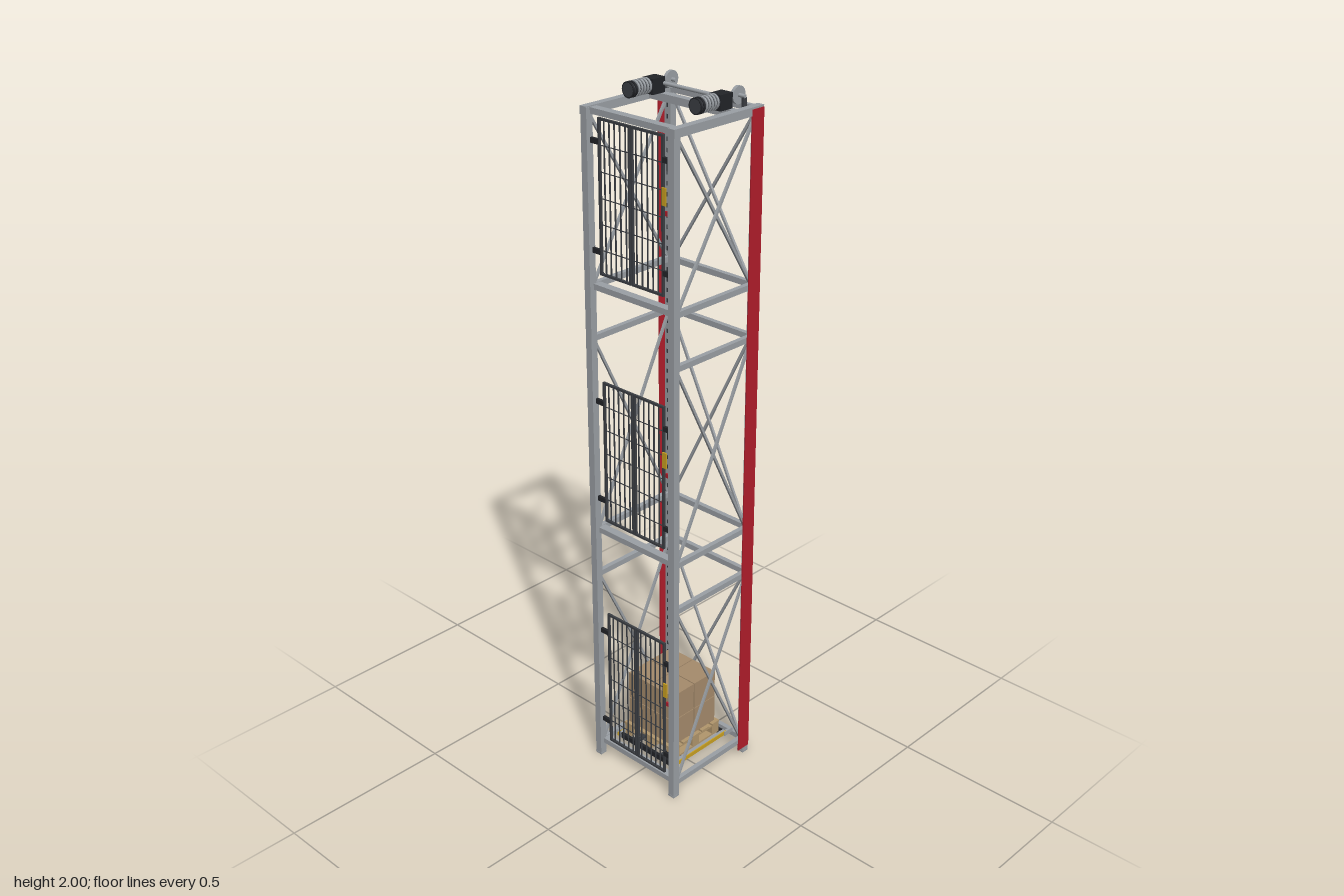
import * as THREE from 'three';
import { mergeGeometries } from 'three/addons/utils/BufferGeometryUtils.js';

const mat = (name, color) => {
  const m = new THREE.MeshStandardMaterial({ color });
  m.name = name;
  return m;
};

export function createModel() {
  const steel = mat('steel grey', 0x9a9fa4);
  const dark = mat('dark grey', 0x3b3e43);
  const black = mat('black', 0x222428);
  const red = mat('red cover', 0xb01c2a);
  const card = mat('cardboard', 0xa58b6c);
  const wood = mat('pallet wood', 0xb0956c);
  const yellow = mat('safety yellow', 0xc9a021);

  const model = new THREE.Group();
  model.name = 'palletLift';
  const group = (name) => {
    const g = new THREE.Group();
    g.name = name;
    model.add(g);
    return g;
  };
  const add = (parent, name, geo, m, x, y, z) => {
    const mesh = new THREE.Mesh(geo, m);
    mesh.name = name;
    mesh.position.set(x, y, z);
    parent.add(mesh);
    return mesh;
  };
  const box = (parent, name, m, w, h, d, x, y, z) =>
    add(parent, name, new THREE.BoxGeometry(w, h, d), m, x, y, z);
  // Straight bar between two points
  const bar = (parent, name, m, a, b, t) => {
    const dir = b.clone().sub(a);
    const mesh = box(parent, name, m, t, dir.length(), t, 0, 0, 0);
    mesh.position.copy(a).add(b).multiplyScalar(0.5);
    mesh.quaternion.setFromUnitVectors(new THREE.Vector3(0, 1, 0), dir.normalize());
    return mesh;
  };
  const V = (x, y, z) => new THREE.Vector3(x, y, z);

  // Corner posts with foot plates and slot rows
  const frame = group('frame');
  const slots = [];
  for (const sx of [-1, 1]) for (const sz of [-1, 1]) {
    box(frame, 'cornerPost', steel, 0.021, 1.946, 0.021, sx * 0.149, 0.977, sz * 0.149);
    box(frame, 'footPlate', steel, 0.022, 0.006, 0.022, sx * 0.149, 0.003, sz * 0.149);
    for (let y = 0.1; y < 1.92; y += 0.03) {
      const s = new THREE.BoxGeometry(0.001, 0.012, 0.006);
      s.translate(sx * 0.1383, y, sz * 0.149);
      slots.push(s);
    }
  }
  add(frame, 'postSlots', mergeGeometries(slots), dark, 0, 0, 0);

  // Horizontal rails
  for (const s of [-1, 1]) {
    for (const y of [0.045, 0.618, 0.762, 1.335, 1.481])
      box(frame, 'crossRail', steel, 0.28, 0.016, 0.014, 0, y, s * 0.149);
    box(frame, 'topRail', steel, 0.32, 0.022, 0.021, 0, 1.942, s * 0.1505);
  }
  for (const y of [0.045, 0.618, 0.762, 1.335, 1.481, 1.942])
    box(frame, 'sideRail', steel, 0.014, 0.016, 0.28, 0.149, y, 0);
  for (const y of [0.045, 0.762, 1.481, 1.942])
    box(frame, 'gateSideRail', steel, 0.024, 0.016, 0.28, -0.135, y, 0);
  box(frame, 'motorBeam', steel, 0.021, 0.02, 0.28, 0.072, 1.943, 0);

  // Crossed braces on the front, back and closed side
  for (const [y0, y1] of [[0.053, 0.61], [0.77, 1.327], [1.489, 1.93]]) {
    for (const d of [-1, 1]) {
      const o = d * 0.003;
      for (const s of [-1, 1])
        bar(frame, 'brace', steel, V(-0.138 * d, y0, s * 0.149 + o), V(0.138 * d, y1, s * 0.149 + o), 0.007);
      bar(frame, 'brace', steel, V(0.149 + o, y0, -0.138 * d), V(0.149 + o, y1, 0.138 * d), 0.007);
    }
  }

  // Red counterweight covers
  for (const s of [-1, 1])
    box(model, 'redCover', red, 0.044, 1.928, 0.003, 0.138, 0.984, s * 0.1605);

  // Double-leaf mesh gates
  for (const [y0, y1] of [[0.06, 0.5], [0.8, 1.22], [1.52, 1.93]]) {
    const gate = group('gate');
    const h = y1 - y0, ym = (y0 + y1) / 2, x = -0.145;
    for (const s of [-1, 1]) {
      for (const z of [0.004, 0.109])
        box(gate, 'gateStile', dark, 0.007, h, 0.006, x, ym, s * z);
      for (const y of [y0 + 0.003, y1 - 0.003])
        box(gate, 'gateEdge', dark, 0.007, 0.006, 0.108, x, y, s * 0.056);
      for (const z of [0.018, 0.037, 0.056, 0.074, 0.092])
        box(gate, 'gateBar', dark, 0.003, h, 0.003, x, ym, s * z);
      for (let i = 1; i < 6; i++)
        box(gate, 'gateWire', dark, 0.002, 0.002, 0.105, x - 0.002, y0 + (h * i) / 6, s * 0.056);
      for (const f of [0.15, 0.85])
        box(gate, 'hinge', black, 0.008, 0.014, 0.03, x, y0 + h * f, s * 0.125);
    }
    box(gate, 'lockBox', black, 0.012, 0.03, 0.01, x, y1 - 0.07, 0.131);
    box(gate, 'warningPlate', yellow, 0.004, 0.045, 0.014, x - 0.007, y1 - 0.15, 0.119);
    box(gate, 'stopButton', red, 0.005, 0.012, 0.012, x - 0.008, y1 - 0.19, 0.131);
  }

  // Lifting carriage
  const carriage = group('carriage');
  for (const s of [-1, 1]) {
    box(carriage, 'carriageRail', steel, 0.225, 0.014, 0.01, 0, 0.063, s * 0.106);
    box(carriage, 'yellowStrip', yellow, 0.228, 0.012, 0.003, 0, 0.064, s * 0.1125);
    box(carriage, 'carriageEnd', black, 0.009, 0.016, 0.205, s * 0.107, 0.063, 0);
    box(carriage, 'forkBeam', dark, 0.205, 0.008, 0.02, 0, 0.061, s * 0.055);
    box(carriage, 'guideArm', steel, 0.035, 0.014, 0.008, 0.122, 0.063, s * 0.113);
  }

  // Wooden pallet
  const pallet = group('pallet');
  for (const x of [-0.084, -0.04, 0, 0.04, 0.084])
    box(pallet, 'deckBoard', wood, 0.03, 0.006, 0.198, x, 0.106, 0);
  for (const z of [-0.084, 0, 0.084]) {
    box(pallet, 'stringer', wood, 0.198, 0.005, 0.026, 0, 0.1005, z);
    box(pallet, 'bottomBoard', wood, 0.198, 0.005, 0.026, 0, 0.0705, z);
    for (const x of [-0.084, 0, 0.084])
      box(pallet, 'palletBlock', wood, 0.028, 0.026, 0.026, x, 0.0855, z);
  }

  // Stacked cartons
  const load = group('cartons');
  for (const sx of [-1, 1]) for (const sz of [-1, 1]) for (const y of [0.1525, 0.2395])
    box(load, 'carton', card, 0.087, 0.085, 0.087, sx * 0.045, y, sz * 0.045);

  // Drive motors, shaft and sprockets
  const drive = group('drive');
  const cylX = (name, m, r, len, x, z) => {
    add(drive, name, new THREE.CylinderGeometry(r, r, len, 20), m, x, 1.977, z).rotation.z = Math.PI / 2;
  };
  const cylZ = (name, m, r, len, x, z) => {
    add(drive, name, new THREE.CylinderGeometry(r, r, len, 24), m, x, 1.977, z).rotation.x = Math.PI / 2;
  };
  for (const s of [-1, 1]) {
    const z = s * 0.114;
    cylX('motorBody', dark, 0.018, 0.072, -0.004, z);
    for (let i = 0; i < 7; i++)
      cylX('coolingFin', i < 2 ? black : steel, 0.021, 0.005, -0.037 + i * 0.01, z);
    box(drive, 'gearbox', black, 0.044, 0.04, 0.037, 0.053, 1.974, z);
    cylZ('sprocket', steel, 0.023, 0.009, 0.115, z);
    cylZ('sprocketShaft', steel, 0.005, 0.042, 0.115, s * 0.117);
    box(drive, 'shaftBearing', dark, 0.014, 0.024, 0.006, 0.115, 1.962, s * 0.135);
  }
  cylZ('driveShaft', steel, 0.005, 0.2, 0.072, 0);

  return model;
}
